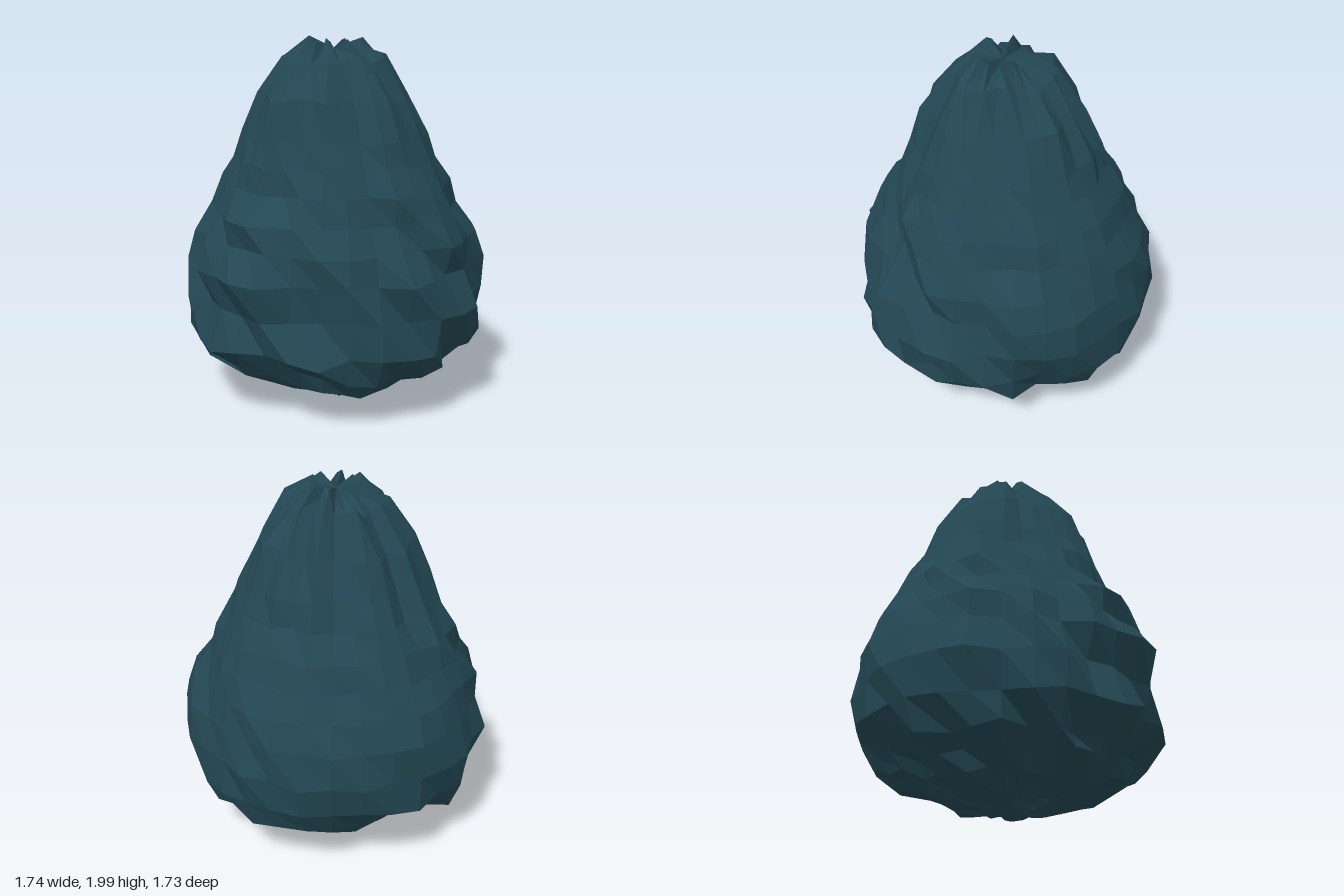
import * as THREE from 'three';

// Repeatable, well mixed pseudo-random value in 0..1 for a pair of integers
function hash(a, b) {
  let h = Math.imul(a + 11, 374761393) ^ Math.imul(b + 5, 668265263);
  h = Math.imul(h ^ (h >>> 13), 1274126177);
  h = Math.imul(h ^ (h >>> 15), 2246822519);
  return ((h ^ (h >>> 16)) >>> 0) / 4294967296;
}

export function createModel() {
  const group = new THREE.Group();
  const SEGMENTS = 32;

  // Rings from top to bottom: [radius, front radius, height, dent depth, vertical jitter]
  const rings = [
    [0, 0, 1.93, 0, 0], [0.16, 0.16, 2.0, 0.22, -0.1], [0.305, 0.305, 1.9, 0.25, -0.06],
    [0.445, 0.445, 1.7, 0.2, -0.06], [0.535, 0.51, 1.49, 0.16, -0.05],
    [0.59, 0.565, 1.35, 0.14, -0.03], [0.67, 0.62, 1.21, 0.14, -0.02],
    [0.725, 0.74, 1.07, 0.14, -0.01], [0.8, 0.78, 0.93, 0.14, 0],
    [0.85, 0.855, 0.78, 0.13, 0], [0.87, 0.8, 0.58, 0.13, 0.03],
    [0.84, 0.84, 0.37, 0.13, 0.05], [0.775, 0.71, 0.23, 0.18, 0.06],
    [0.635, 0.62, 0.15, 0.18, 0.06], [0.485, 0.48, 0.075, 0.18, 0.06],
    [0.33, 0.33, 0.03, 0.2, 0.06], [0.17, 0.17, 0.0, 0.2, 0.06], [0, 0, 0.07, 0, 0],
  ];

  // Latitude-longitude body with dents pushed in from a smooth hull
  const geometry = new THREE.SphereGeometry(1, SEGMENTS, rings.length - 1);
  const pos = geometry.attributes.position;
  rings.forEach(([side, front, height, depth, jitter], j) => {
    // Grooves dominate on the upper slope, separate chips lower down
    const mix = THREE.MathUtils.clamp((height - 0.8) / 0.8, 0, 0.65);
    for (let i = 0; i <= SEGMENTS; i++) {
      const k = i % SEGMENTS;
      const angle = (k / SEGMENTS) * Math.PI * 2;
      const dx = -Math.cos(angle);
      const dz = Math.sin(angle);
      const radius = THREE.MathUtils.lerp(side, front, Math.max(0, dz) ** 4);
      const groove = Math.max(0, hash(k, 101) - 0.35) * 1.5;
      const chip = Math.max(0, hash(k, j) - 0.25) * 1.33;
      // The rear right flank is nearly smooth around the middle
      const calm = height > 0.3 && height < 1.3 ? Math.max(0, -0.6 * dx - 0.8 * dz) : 0;
      const dent = THREE.MathUtils.lerp(chip, groove, mix) * (1 - 0.7 * calm);
      const r = radius * (1 - depth * dent);
      const y = height + jitter * hash(k, j + 40);
      pos.setXYZ(j * (SEGMENTS + 1) + i, r * dx, y, r * dz);
    }
  });
  geometry.computeVertexNormals();

  const boulder = new THREE.Mesh(
    geometry,
    new THREE.MeshStandardMaterial({ color: 0x234753, flatShading: true })
  );
  boulder.name = 'boulder';
  group.add(boulder);
  return group;
}
